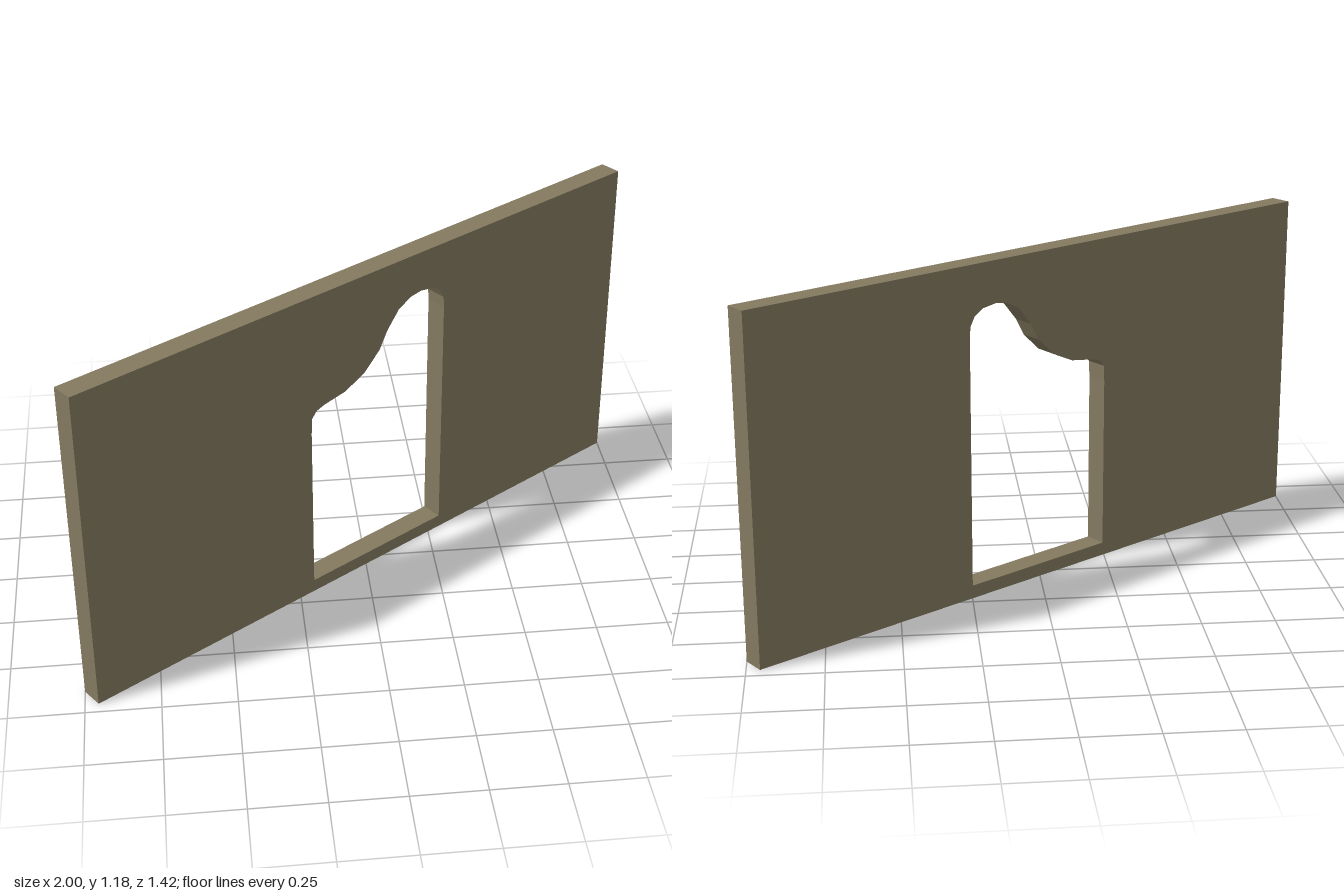
import * as THREE from 'three';

export function createModel() {
  const model = new THREE.Group();
  const stone = new THREE.MeshStandardMaterial({ color: 0x847a60 });
  stone.name = 'olive stone';

  const length = 2.38, height = 1.18, thickness = 0.079;

  // Wall outline
  const outline = new THREE.Shape();
  outline.moveTo(-length / 2, 0);
  outline.lineTo(length / 2, 0);
  outline.lineTo(length / 2, height);
  outline.lineTo(-length / 2, height);
  outline.closePath();

  // Lopsided doorway with a low shoulder sweeping up to a rounded peak
  const doorway = [
    [-0.27, 0.047], [-0.27, 0.66], [-0.267, 0.72], [-0.247, 0.743], [-0.213, 0.754],
    [-0.119, 0.769], [-0.033, 0.81], [0.034, 0.873], [0.068, 0.935], [0.12, 0.998],
    [0.174, 1.026], [0.22, 1.033], [0.274, 1.025], [0.309, 1.003], [0.327, 0.97],
    [0.33, 0.93], [0.33, 0.047],
  ];
  outline.holes.push(new THREE.Path(doorway.map(([x, y]) => new THREE.Vector2(x, y))));

  const geometry = new THREE.ExtrudeGeometry(outline, { depth: thickness, bevelEnabled: false });
  geometry.translate(0, 0, -thickness / 2);

  // Wall stands diagonally across the footprint
  const wall = new THREE.Mesh(geometry, stone);
  wall.name = 'wallWithDoorway';
  wall.rotation.y = THREE.MathUtils.degToRad(34.72);
  model.add(wall);

  return model;
}
